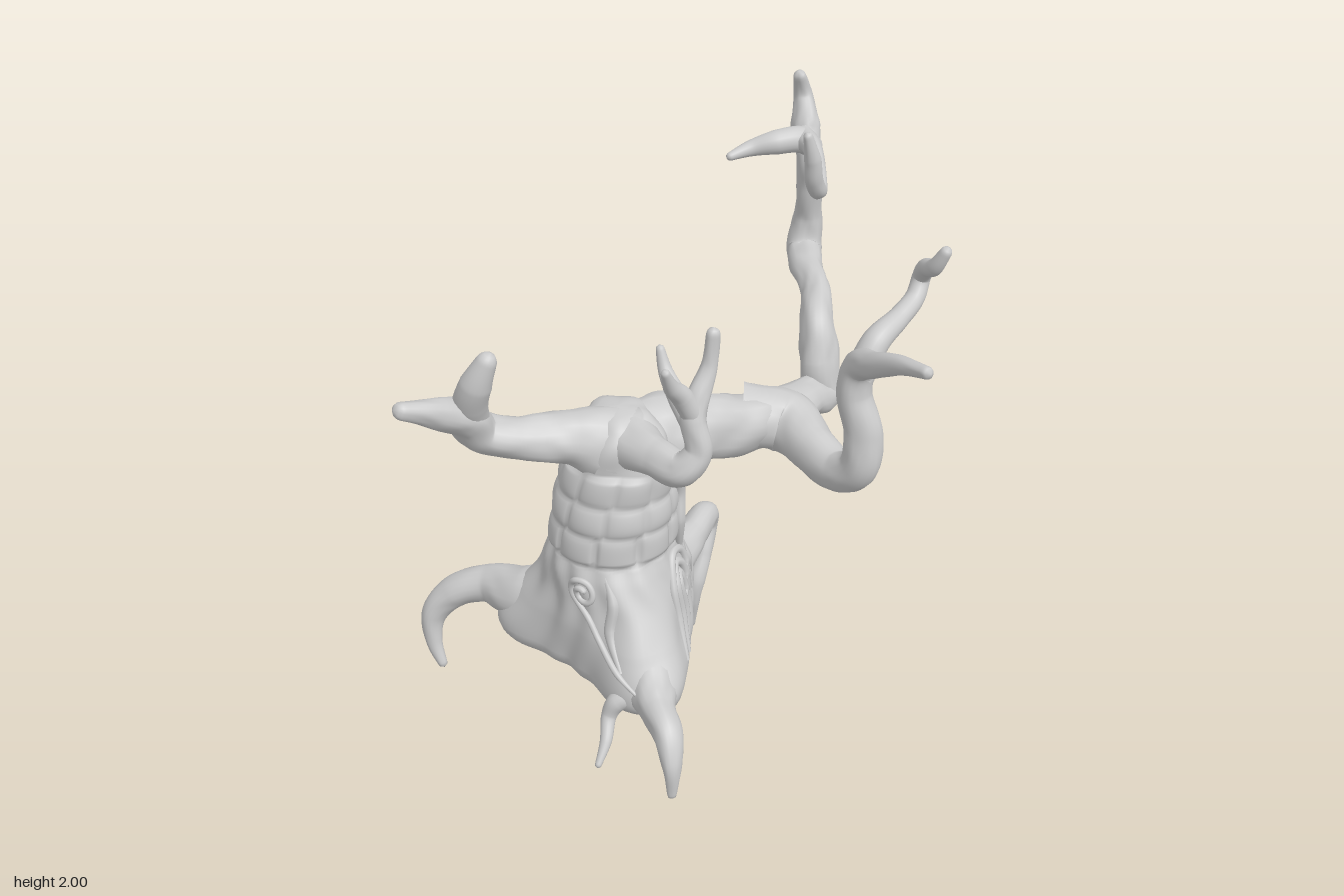
import * as THREE from 'three';
import { mergeVertices } from 'three/addons/utils/BufferGeometryUtils.js';

const material = new THREE.MeshStandardMaterial({ color: 0xcccccc });

function smooth(geometry) {
  geometry.deleteAttribute('uv');
  geometry.deleteAttribute('normal');
  const g = mergeVertices(geometry, 1e-5);
  g.computeVertexNormals();
  return g;
}

// Tapered limb through points [x, y, z, radius], with a rounded tip and bark ripples
function limb(name, pts, bark = 0, sides = 20) {
  const curve = new THREE.CatmullRomCurve3(pts.map(p => new THREE.Vector3(p[0], p[1], p[2])));
  const steps = pts.length * 12;
  const g = new THREE.TubeGeometry(curve, steps, 1, sides, false);
  const pos = g.attributes.position, v = new THREE.Vector3(), c = new THREE.Vector3();
  const length = curve.getLength(), tipR = pts[pts.length - 1][3];
  for (let i = 0; i <= steps; i++) {
    const u = i / steps, s = u * length;
    const t = curve.getUtoTmapping(u) * (pts.length - 1);
    const k = Math.min(Math.floor(t), pts.length - 2);
    let r = THREE.MathUtils.lerp(pts[k][3], pts[k + 1][3], t - k);
    const left = (length - s) / Math.max(tipR * 1.2, 0.01);
    if (left < 1) r *= Math.sqrt(Math.max(0, 1 - (1 - left) ** 2));
    curve.getPointAt(u, c);
    for (let j = 0; j <= sides; j++) {
      const a = (j % sides) / sides * Math.PI * 2, n = i * (sides + 1) + j;
      const ripple = 1 + bark * (Math.sin(a * 3 + s * 8) + 0.7 * Math.sin(a * 2 - s * 32)
        + 0.6 * Math.sin(a * 6 + 2 * Math.sin(s * 25)));
      v.fromBufferAttribute(pos, n).sub(c).multiplyScalar(r * ripple).add(c);
      pos.setXYZ(n, v.x, v.y, v.z);
    }
  }
  const mesh = new THREE.Mesh(smooth(g), material);
  mesh.name = name;
  return mesh;
}

// Trunk sections: centre x, centre z, radius x, radius z, then reach of the right, front and back root flares
const levels = [0.33, 0.4, 0.5, 0.6, 0.7, 0.77, 0.9, 1.0, 1.1, 1.18, 1.23];
const sections = [
  [-0.15, 0.31, 0.24, 0.24, 0.20, 0.20, 0.12],
  [-0.15, 0.31, 0.25, 0.24, 0.19, 0.20, 0.15],
  [-0.15, 0.31, 0.24, 0.24, 0.12, 0.13, 0.12],
  [-0.15, 0.31, 0.23, 0.23, 0.05, 0.07, 0.08],
  [-0.16, 0.32, 0.215, 0.22, 0.015, 0.025, 0.035],
  [-0.16, 0.32, 0.20, 0.20, 0, 0, 0],
  [-0.15, 0.32, 0.19, 0.185, 0, 0, 0],
  [-0.14, 0.32, 0.175, 0.165, 0, 0, 0],
  [-0.12, 0.32, 0.165, 0.15, 0, 0, 0],
  [-0.12, 0.32, 0.15, 0.135, 0, 0, 0],
  [-0.13, 0.32, 0.11, 0.10, 0, 0, 0],
];
const section = new THREE.CubicInterpolant(levels, sections.flat(), 7, new Float32Array(7));
const flareAngles = [2.95, 0.82, -1.5];

function surface(y, a, lift = 0, scale = 1) {
  const [cx, cz, rx, rz, ...flares] = section.evaluate(y);
  let r = lift;
  flares.forEach((f, i) => {
    const d = Math.atan2(Math.sin(a - flareAngles[i]), Math.cos(a - flareAngles[i]));
    r += f * Math.exp(-((d / 0.5) ** 2));
  });
  if (y < 0.76) {
    // Flowing grooves on the skirt
    r += 0.005 * Math.sin(a * 13 + Math.sin(y * 14) * 1.5);
  } else if (y < 1.08) {
    // Rows of bark blocks
    const row = Math.floor((y - 0.76) / 0.107);
    r += 0.022 * (Math.abs(Math.sin(4.5 * a + row * 0.5)) * Math.abs(Math.sin((y - 0.76) / 0.107 * Math.PI))) ** 0.28;
  } else {
    r += 0.008 * Math.sin(a * 5 + y * 22);
  }
  return new THREE.Vector3(cx + Math.cos(a) * (rx + r) * scale, y, cz + Math.sin(a) * (rz + r) * scale);
}

function trunk() {
  const cols = 108, base = 0.37, top = 1.23;
  // Rings: level, scale, vertical offset; a rounded underside, the sides, a domed top
  const rings = [[0, -0.015], [0.4, -0.035], [0.75, -0.05], [0.88, -0.047], [0.95, -0.035], [0.985, -0.018]]
    .map(([s, dy]) => [base, s, dy]);
  for (let y = base; y < top + 0.0001; y += 0.01) rings.push([Math.min(y, top), 1, 0]);
  for (const s of [0.85, 0.6, 0.3, 0]) rings.push([top, s, 0.03 * Math.sqrt(1 - s * s)]);
  const verts = [], index = [];
  rings.forEach(([y, s, dy], j) => {
    for (let i = 0; i < cols; i++) {
      const p = surface(y, i / cols * Math.PI * 2, 0, s);
      const tilt = y < 0.5 ? (0.3 - p.z) * 0.08 * (0.5 - y) / 0.13 : 0;
      verts.push(p.x, p.y + dy + tilt, p.z);
      if (j === rings.length - 1) continue;
      const a = j * cols + i, b = j * cols + (i + 1) % cols;
      index.push(a, a + cols, b, b, a + cols, b + cols);
    }
  });
  const g = new THREE.BufferGeometry();
  g.setAttribute('position', new THREE.Float32BufferAttribute(verts, 3));
  g.setIndex(index);
  g.computeVertexNormals();
  const mesh = new THREE.Mesh(g, material);
  mesh.name = 'trunk';
  return mesh;
}

// Raised bark ridge half sunk into the trunk, through [y, angle] pairs
function ridge(name, path, r, lift = 0) {
  return limb(name, path.map(([y, a], i) => {
    const p = surface(y, a, lift);
    return [p.x, p.y, p.z, i === 0 || i === path.length - 1 ? r * 0.4 : r];
  }), 0, 8);
}

export function createModel() {
  const model = new THREE.Group();
  model.name = 'tree';
  const roots = new THREE.Group(), branches = new THREE.Group(), ridges = new THREE.Group();
  roots.name = 'roots';
  branches.name = 'branches';
  ridges.name = 'barkRidges';
  model.add(trunk(), roots, branches, ridges);

  // Roots
  roots.add(
    limb('rightRoot', [[-0.32, 0.46, 0.34, 0.12], [-0.48, 0.435, 0.365, 0.1], [-0.64, 0.42, 0.355, 0.067],
      [-0.76, 0.375, 0.395, 0.058], [-0.825, 0.29, 0.44, 0.045], [-0.82, 0.19, 0.465, 0.03], [-0.775, 0.09, 0.48, 0.014]], 0.03),
    limb('frontLeftRoot', [[-0.02, 0.45, 0.44, 0.12], [0.08, 0.40, 0.55, 0.09], [0.16, 0.37, 0.65, 0.06],
      [0.23, 0.345, 0.72, 0.048], [0.265, 0.27, 0.765, 0.034], [0.275, 0.14, 0.785, 0.012]], 0.05),
    limb('frontRootlet', [[0.09, 0.37, 0.57, 0.045], [0.05, 0.36, 0.62, 0.035], [0.01, 0.34, 0.645, 0.034],
      [-0.01, 0.29, 0.665, 0.026], [0.005, 0.23, 0.72, 0.02], [0.005, 0.165, 0.785, 0.01]]),
    limb('backRoot', [[-0.13, 0.45, 0.12, 0.13], [-0.115, 0.45, -0.04, 0.085], [-0.1, 0.465, -0.16, 0.06],
      [-0.1, 0.475, -0.285, 0.048], [-0.105, 0.41, -0.315, 0.036], [-0.1, 0.31, -0.265, 0.03], [-0.105, 0.22, -0.215, 0.032],
      [-0.115, 0.13, -0.205, 0.026], [-0.125, 0.0, -0.215, 0.012]], 0.03),
    limb('innerRootlet', [[-0.33, 0.38, 0.32, 0.06], [-0.3, 0.29, 0.31, 0.04], [-0.275, 0.21, 0.335, 0.028],
      [-0.24, 0.13, 0.295, 0.016]]),
  );

  // Front right branch with two blunt prongs
  branches.add(
    limb('frontRightBranch', [[-0.1, 1.12, 0.32, 0.14], [-0.24, 1.18, 0.44, 0.088], [-0.36, 1.21, 0.56, 0.068],
      [-0.44, 1.25, 0.63, 0.064], [-0.455, 1.33, 0.69, 0.062], [-0.485, 1.39, 0.78, 0.05], [-0.555, 1.46, 0.92, 0.024]], 0.045),
    limb('frontRightProng', [[-0.455, 1.31, 0.66, 0.055], [-0.43, 1.40, 0.7, 0.055], [-0.395, 1.48, 0.715, 0.05],
      [-0.345, 1.59, 0.7, 0.026]]),
  );

  // Short front left branch
  branches.add(
    limb('frontLeftBranch', [[-0.06, 1.16, 0.36, 0.09], [0.06, 1.17, 0.42, 0.062], [0.16, 1.175, 0.45, 0.055],
      [0.205, 1.24, 0.43, 0.042], [0.18, 1.34, 0.415, 0.042], [0.185, 1.41, 0.39, 0.036], [0.2, 1.5, 0.345, 0.026],
      [0.21, 1.625, 0.335, 0.02]], 0.04),
    limb('frontLeftProng', [[0.18, 1.35, 0.41, 0.038], [0.155, 1.43, 0.445, 0.034], [0.145, 1.48, 0.49, 0.026],
      [0.145, 1.565, 0.54, 0.012]]),
    limb('frontLeftTwig', [[0.18, 1.32, 0.42, 0.036], [0.11, 1.37, 0.37, 0.034], [0.05, 1.43, 0.335, 0.024],
      [0.02, 1.515, 0.32, 0.012]]),
  );

  // Left branch with a straight prong and a curling one
  branches.add(
    limb('leftBranch', [[0.12, 1.08, -0.06, 0.11], [0.27, 1.05, -0.13, 0.105], [0.4, 1.03, -0.045, 0.08],
      [0.52, 1.02, 0.03, 0.068], [0.595, 1.08, 0.055, 0.066], [0.6, 1.2, 0.05, 0.062], [0.56, 1.33, 0.045, 0.056],
      [0.575, 1.43, 0.05, 0.052], [0.65, 1.49, 0.12, 0.042], [0.75, 1.55, 0.19, 0.03], [0.87, 1.59, 0.27, 0.018]], 0.025),
    limb('leftCurl', [[0.57, 1.39, 0.04, 0.05], [0.6, 1.49, -0.02, 0.045], [0.635, 1.53, -0.13, 0.035],
      [0.655, 1.565, -0.215, 0.032], [0.66, 1.62, -0.25, 0.03], [0.685, 1.675, -0.21, 0.03], [0.73, 1.715, -0.15, 0.027],
      [0.775, 1.795, -0.135, 0.017]]),
  );

  // Tall back branch with its forked crown
  branches.add(
    limb('backBranch', [[-0.13, 1.11, 0.3, 0.13], [0.0, 1.11, 0.14, 0.12], [0.13, 1.075, -0.01, 0.1], [0.23, 1.055, -0.17, 0.09],
      [0.27, 1.05, -0.3, 0.068], [0.275, 1.03, -0.405, 0.075], [0.27, 1.14, -0.41, 0.068], [0.24, 1.26, -0.45, 0.06],
      [0.19, 1.315, -0.57, 0.05], [0.1, 1.335, -0.7, 0.056], [0.045, 1.35, -0.81, 0.064], [0.045, 1.47, -0.83, 0.05],
      [0.06, 1.6, -0.8, 0.045], [0.06, 1.72, -0.78, 0.042], [0.03, 1.81, -0.825, 0.05], [-0.0, 1.9, -0.87, 0.034],
      [-0.005, 2.0, -0.83, 0.018]], 0.055),
    limb('crownSpur', [[0.04, 1.78, -0.79, 0.045], [0.025, 1.81, -0.86, 0.04], [0.01, 1.81, -0.92, 0.02]]),
    limb('crownRightProng', [[0.07, 1.75, -0.79, 0.04], [0.05, 1.8, -0.72, 0.046], [-0.01, 1.805, -0.65, 0.042],
      [-0.08, 1.79, -0.6, 0.028], [-0.135, 1.775, -0.52, 0.012]]),
    limb('crownLeftProng', [[0.05, 1.8, -0.74, 0.042], [0.12, 1.805, -0.66, 0.034], [0.18, 1.785, -0.55, 0.03],
      [0.22, 1.745, -0.47, 0.03], [0.22, 1.8, -0.425, 0.03], [0.22, 1.88, -0.405, 0.028], [0.21, 1.98, -0.375, 0.013]], 0.03),
  );

  // Front spiral with a tail running down to the root
  const swirl = [];
  for (let i = 0; i <= 20; i++) {
    const t = i / 20, a = 0.3 + t * Math.PI * 3.2, r = 0.012 + 0.045 * t;
    swirl.push([0.665 + Math.sin(a) * r, Math.PI / 2 - Math.cos(a) * r / 0.24]);
  }
  swirl.push([0.58, 1.5], [0.52, 1.33], [0.45, 1.12], [0.39, 0.95]);
  ridges.add(ridge('frontSpiral', swirl, 0.011, 0.003));

  // Hooked ridges on the left flank
  for (let i = 0; i < 3; i++) {
    const s = i * 0.12, h = 0.72 - i * 0.035;
    ridges.add(ridge('leftHook', [[0.4, 0.35 - s], [0.52, 0.25 - s], [0.63, 0.2 - s * 0.7], [h, -0.1],
      [h - 0.02, -0.38 + s], [h - 0.08, -0.42 + s], [h - 0.1, -0.3 + s]], 0.016));
  }

  // Broad bark strands on the flanks and back
  for (const a of [-0.75, -1.05, -2.35, 1.15]) {
    ridges.add(ridge('barkStrand', [[0.45, a - 0.06], [0.55, a + 0.04], [0.65, a - 0.03], [0.74, a + 0.08]], 0.022, -0.01));
  }
  for (const a of [-0.5, -0.9, -1.3]) {
    ridges.add(ridge('upperStrand', [[0.68, a], [0.82, a + 0.1], [0.92, a], [1.02, a + 0.12], [1.1, a + 0.2]], 0.026, -0.002));
  }
  return model;
}
